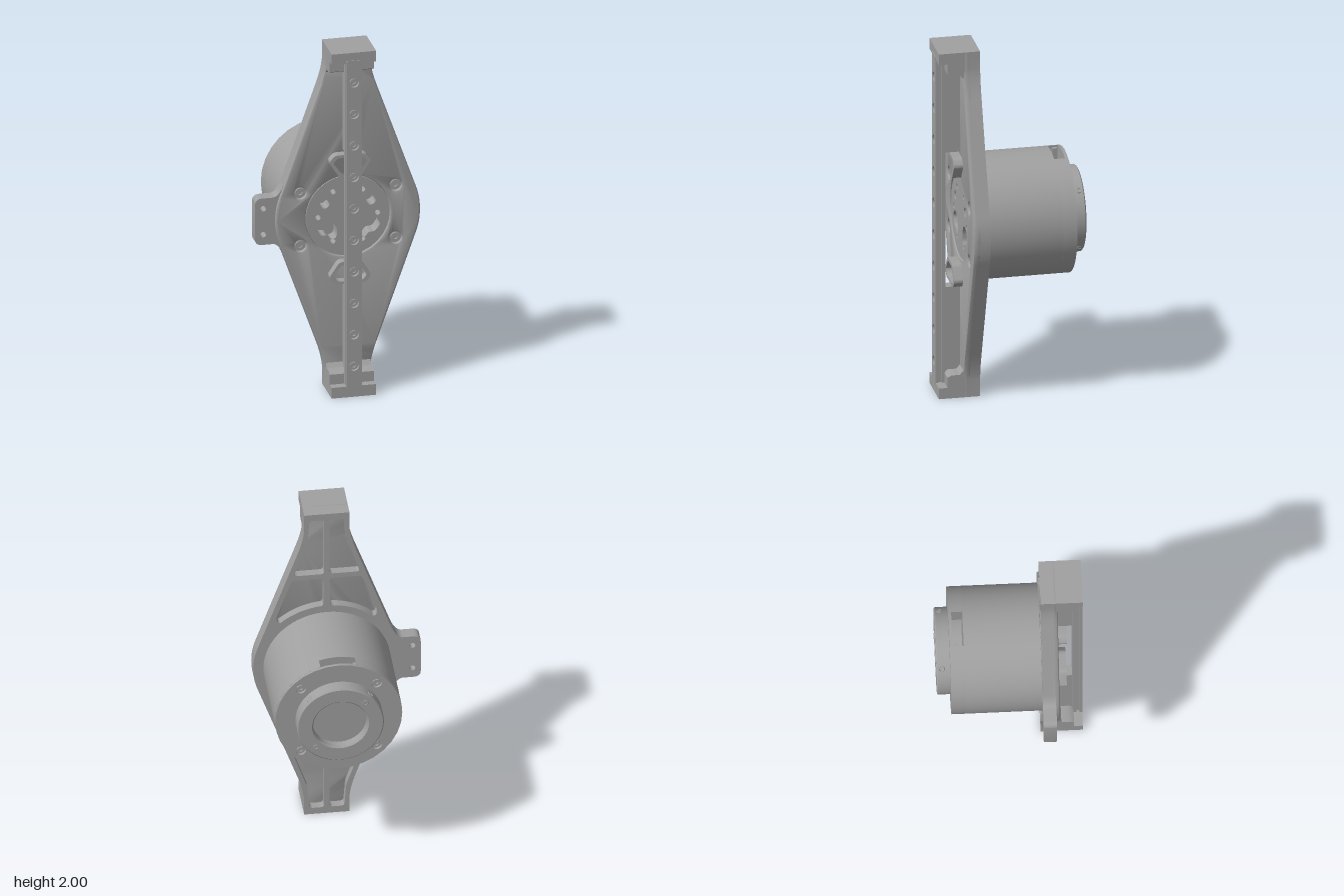
import * as THREE from 'three';
import { toCreasedNormals } from 'three/addons/utils/BufferGeometryUtils.js';

const CX = 0.055, CY = 1; // main axis; profiles below are relative to it
const grey = new THREE.MeshStandardMaterial({ color: 0xa0a0a0 });
grey.name = 'machined grey';

export function createModel() {
  const model = new THREE.Group();
  model.name = 'railMount';
  const body = new THREE.Group();
  body.name = 'axisFrame';
  body.position.set(CX, CY, 0);
  model.add(body);

  const add = (name, geo, crease = 0.5) => {
    const mesh = new THREE.Mesh(toCreasedNormals(geo, crease), grey);
    mesh.name = name;
    body.add(mesh);
    return mesh;
  };
  const box = (name, x0, x1, y0, y1, z0, z1) =>
    add(name, new THREE.BoxGeometry(x1 - x0, y1 - y0, z1 - z0)
      .translate((x0 + x1) / 2, (y0 + y1) / 2, (z0 + z1) / 2));

  // Closed polygon with rounded corners
  const rounded = (pts, r = 0) => {
    const s = new THREE.Shape();
    const v = pts.map(p => new THREE.Vector2(p[0], p[1]));
    v.forEach((p, i) => {
      const a = v[(i + v.length - 1) % v.length], b = v[(i + 1) % v.length];
      const toward = q => p.clone().lerp(q, Math.min(0.49, r / p.distanceTo(q)));
      const p0 = toward(a), p1 = toward(b);
      if (i) s.lineTo(p0.x, p0.y); else s.moveTo(p0.x, p0.y);
      if (r) s.quadraticCurveTo(p.x, p.y, p1.x, p1.y);
    });
    s.closePath();
    return s;
  };
  const circle = (x, y, r) => new THREE.Shape().absarc(x, y, r, 0, Math.PI * 2);
  const slab = (name, shape, z0, z1, holes = [], bevel = 0) => {
    shape.holes.push(...holes);
    const geo = new THREE.ExtrudeGeometry(shape, {
      depth: z1 - z0 - 2 * bevel, curveSegments: 16, bevelEnabled: bevel > 0,
      bevelSize: bevel, bevelThickness: bevel, bevelOffset: -bevel, bevelSegments: 2,
    });
    return add(name, geo.translate(0, 0, z0 + bevel));
  };
  // Solid turned about the z axis from [radius, z] points
  const turned = (name, pts) => add(name, new THREE.LatheGeometry(
    pts.map(p => new THREE.Vector2(p[0], p[1])), 64).rotateX(Math.PI / 2));
  // Socket-head screw
  const screw = (x, y, z, r) => {
    const hex = Array.from({ length: 6 }, (_, i) =>
      [x + r * 0.55 * Math.cos(i * Math.PI / 3), y + r * 0.55 * Math.sin(i * Math.PI / 3)]);
    slab('screw', circle(x, y, r), z, z + 0.012, [rounded(hex)]);
  };

  // Diamond-shaped plate outline, mirrored from one quarter
  const quarter = new THREE.Path();
  quarter.moveTo(0.4, 0);
  quarter.quadraticCurveTo(0.4, 0.075, 0.375, 0.14);
  quarter.lineTo(0.165, 0.73);
  quarter.quadraticCurveTo(0.128, 0.83, 0.123, 0.9);
  quarter.lineTo(0.123, 1);
  const q = quarter.getPoints(8).map(p => [p.x, p.y]);
  const flip = (pts, sx, sy) => pts.map(([x, y]) => [x * sx, y * sy]);
  const outline = [...q, ...flip(q, -1, 1).reverse(),
    ...flip(q, -1, -1).slice(1), ...flip(q, 1, -1).reverse().slice(0, -1)];

  // Weight-saving pockets at the back, leaving ribs and a collar
  const collar = Array.from({ length: 9 }, (_, i) => {
    const a = (48 + i * 4.9) * Math.PI / 180;
    return [0.388 * Math.cos(a), 0.388 * Math.sin(a)];
  });
  const upper = [[0.015, 0.6], [0.18, 0.6], [0.14, 0.72], [0.105, 0.82], [0.095, 0.96], [0.015, 0.96]];
  const lower = [[0.015, 0.57], [0.19, 0.57], [0.277, 0.325], ...collar];
  const pockets = [];
  for (const sx of [-1, 1]) for (const sy of [-1, 1])
    for (const p of [upper, lower]) pockets.push(rounded(flip(p, sx, sy), 0.02));
  slab('plateFrame', rounded(outline), 0.168, 0.24, [circle(0, 0, 0.245), ...pockets]);

  // Front skin with counterbored screws
  const corners = [[-1, -1], [-1, 1], [1, -1], [1, 1]];
  const boltSpots = corners.map(([sx, sy]) => [sx * 0.264, sy * 0.153]);
  slab('plateSkin', rounded(outline), 0.215, 0.26,
    [circle(0, 0, 0.235), ...boltSpots.map(([x, y]) => circle(x, y, 0.034))], 0.01);
  boltSpots.forEach(([x, y]) => screw(x, y, 0.238, 0.025));

  // Round motor face with its openings
  const faceHoles = [];
  for (let i = 0; i < 6; i++)
    faceHoles.push(circle(0.165 * Math.cos(i * Math.PI / 3), 0.165 * Math.sin(i * Math.PI / 3), 0.015));
  const kidney = [[0.06, -0.06], [0.09, -0.015], [0.145, -0.015], [0.185, -0.06],
    [0.15, -0.11], [0.115, -0.105], [0.095, -0.14], [0.06, -0.125]];
  for (const sx of [-1, 1]) {
    faceHoles.push(circle(sx * 0.128, 0.075, 0.026));
    faceHoles.push(rounded(flip(kidney, sx, 1), 0.025));
  }
  slab('motorFace', circle(0, 0, 0.232), 0.165, 0.252, faceHoles);

  // Side tab with two holes
  const tab = new THREE.Shape();
  tab.moveTo(-0.355, 0.2);
  tab.quadraticCurveTo(-0.38, 0.135, -0.415, 0.135);
  tab.lineTo(-0.47, 0.135);
  tab.quadraticCurveTo(-0.51, 0.135, -0.51, 0.1);
  tab.lineTo(-0.51, -0.1);
  tab.quadraticCurveTo(-0.51, -0.135, -0.47, -0.135);
  tab.lineTo(-0.415, -0.135);
  tab.quadraticCurveTo(-0.38, -0.135, -0.355, -0.2);
  slab('sideTab', tab, 0.168, 0.24, [circle(-0.465, 0.075, 0.016), circle(-0.465, -0.075, 0.016)]);

  // Stepped end blocks, rail supports and raised bosses, top and bottom
  const hook = [[0.23, 1], [0.395, 1], [0.395, 0.938], [0.348, 0.938], [0.348, 0.88],
    [0.325, 0.868], [0.28, 0.868], [0.255, 0.84], [0.23, 0.84]];
  const lug = [[-0.085, 0.375], [0.085, 0.375], [0.118, 0.335], [0.06, 0.247], [-0.06, 0.247], [-0.118, 0.335]];
  const lugCore = lug.map(([x, y]) => [x * 0.8, 0.32 + (y - 0.32) * 0.72]);
  for (const s of [1, -1]) {
    const block = new THREE.ExtrudeGeometry(rounded(flip(hook, 1, s)), { depth: 0.246, bevelEnabled: false });
    add('endBlock', block.rotateY(-Math.PI / 2).translate(0.123, 0, 0));
    const [y0, y1] = s > 0 ? [0.39, 0.88] : [-0.88, -0.39];
    box('railSupport', -0.03, 0.03, y0, y1, 0.255, 0.345);
    slab('raisedBoss', rounded(flip(lug, 1, s), 0.02), 0.255, 0.31, [rounded(flip(lugCore, 1, s), 0.015)]);
  }

  // Linear rail: grooved sides, counterbored screw row
  const rows = Array.from({ length: 10 }, (_, i) => 0.825 - i * 0.183);
  const strip = w => rounded([[-w, -0.947], [w, -0.947], [w, 0.955], [-w, 0.955]]);
  slab('railBase', strip(0.043), 0.342, 0.364);
  slab('railWeb', strip(0.033), 0.364, 0.38);
  slab('railHead', strip(0.043), 0.38, 0.398, rows.map(y => circle(0, y, 0.027)));
  rows.forEach(y => screw(0, y, 0.378, 0.02));

  // Motor housing
  turned('motorHousing', [[0, -0.245], [0.345, -0.245], [0.345, 0.17], [0, 0.17]]);

  // Rear flange wall, open at top and bottom
  for (const s of [0, Math.PI]) {
    const wall = new THREE.Shape();
    const ao = Math.acos(0.0975 / 0.345), ai = Math.acos(0.0975 / 0.23);
    wall.absarc(0, 0, 0.345, s - ao, s + ao, false);
    wall.absarc(0, 0, 0.23, s + ai, s - ai, true);
    wall.closePath();
    slab('flangeWall', wall, -0.307, -0.245);
  }
  box('wiringStop', -0.1, -0.08, 0.26, 0.32, -0.3, -0.272);

  // Lid with four screw holes
  const diag = corners.map(([sx, sy]) => [sx * 0.206, sy * 0.206]);
  slab('rearLid', circle(0, 0, 0.345), -0.322, -0.305, diag.map(([x, y]) => circle(x, y, 0.028)));
  diag.forEach(([x, y]) => screw(x, y, -0.317, 0.02));

  // Rear boss with a recessed centre
  turned('rearBoss', [[0, -0.345], [0.148, -0.345], [0.148, -0.388], [0.155, -0.395],
    [0.23, -0.395], [0.236, -0.389], [0.236, -0.315], [0, -0.315]]);
  // Set-screw rims on the boss edge
  for (const [sx, sy] of corners) {
    const rim = add('setScrew', new THREE.TorusGeometry(0.014, 0.004, 6, 16), 1);
    rim.position.set(sx * 0.1665, sy * 0.1665, -0.367);
    rim.rotation.y = Math.atan2(sx, 0);
    rim.rotation.order = 'ZYX';
    rim.rotation.z = sx * sy * Math.PI / 4;
  }
  // Two pin rims on the boss face
  for (const s of [1, -1])
    add('pinHole', new THREE.TorusGeometry(0.013, 0.004, 6, 16), 1).position.set(-s * 0.135, s * 0.135, -0.394);

  return model;
}
